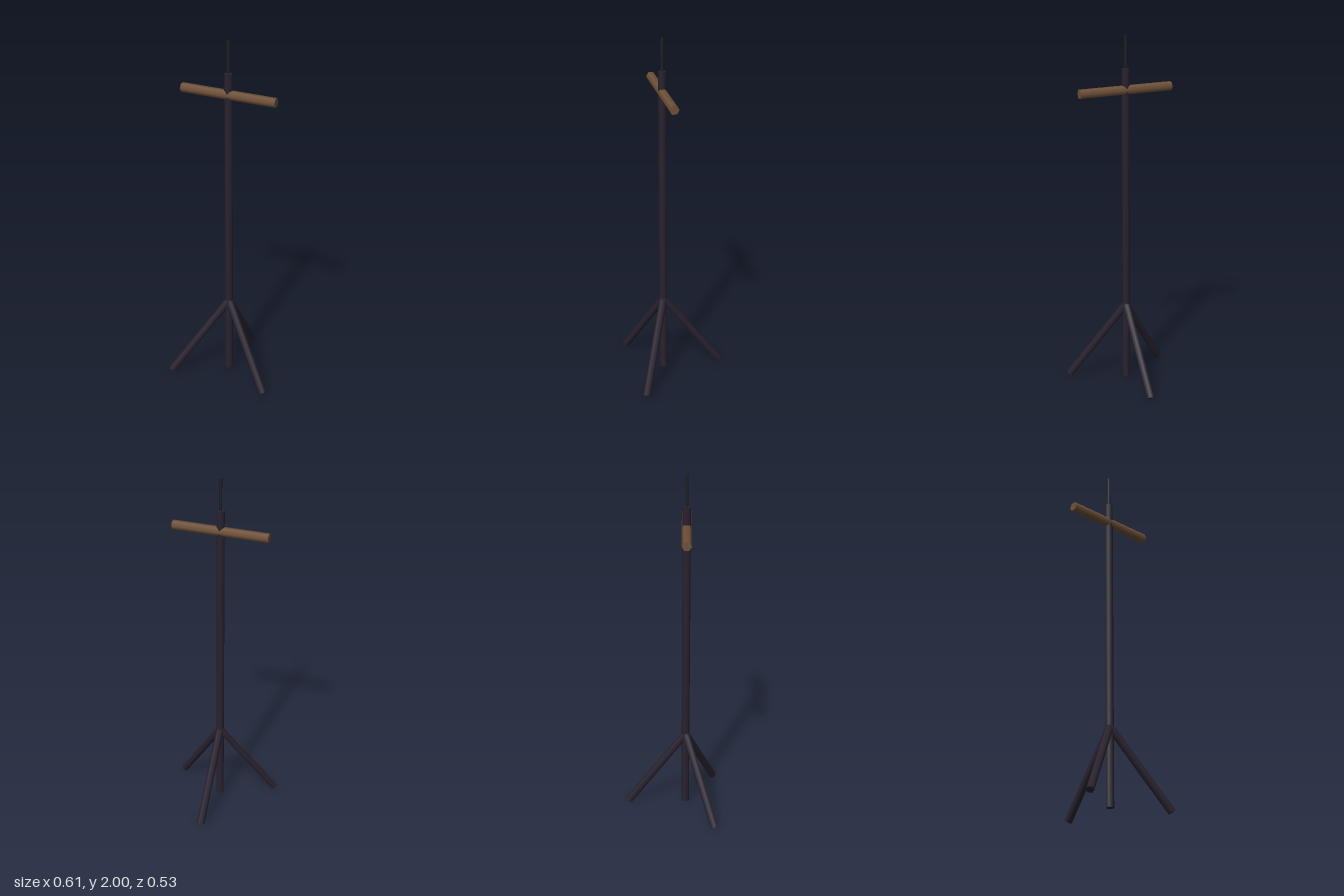
import * as THREE from 'three';

export function createModel() {
  const model = new THREE.Group();
  const poleZ = 0.079;
  const dark = new THREE.MeshStandardMaterial({ color: 0x2a2330 });
  const wood = new THREE.MeshStandardMaterial({ color: 0x70523a });
  const metal = new THREE.MeshStandardMaterial({ color: 0x1e2226 });

  // six-sided rod along y
  const rod = (radius, length) => new THREE.CylinderGeometry(radius, radius, length, 6);
  const add = (name, geometry, material, y) => {
    const mesh = new THREE.Mesh(geometry, material);
    mesh.name = name;
    mesh.position.set(0, y, poleZ);
    model.add(mesh);
    return mesh;
  };

  // upright pole with a thin spike on top
  const bottom = 0.016, top = 1.82;
  add('pole', rod(0.022, top - bottom), dark, (top + bottom) / 2);
  add('spike', rod(0.008, 2 - top), metal, (2 + top) / 2);

  // horizontal crossbar
  add('crossbar', rod(0.0265, 0.542).rotateZ(Math.PI / 2), wood, 1.703);

  // three splayed legs, one at the back and two at the front
  const reach = 0.33, drop = 0.447, length = Math.hypot(reach, drop);
  const legGeometry = rod(0.0215, length)
    .rotateY(THREE.MathUtils.degToRad(-16))
    .translate(0, -length / 2, 0)
    .rotateX(Math.atan2(reach, drop));
  ['backLeg', 'frontRightLeg', 'frontLeftLeg'].forEach((name, i) => {
    add(name, legGeometry, dark, 0.46).rotation.y = (i * 2 * Math.PI) / 3;
  });

  return model;
}
